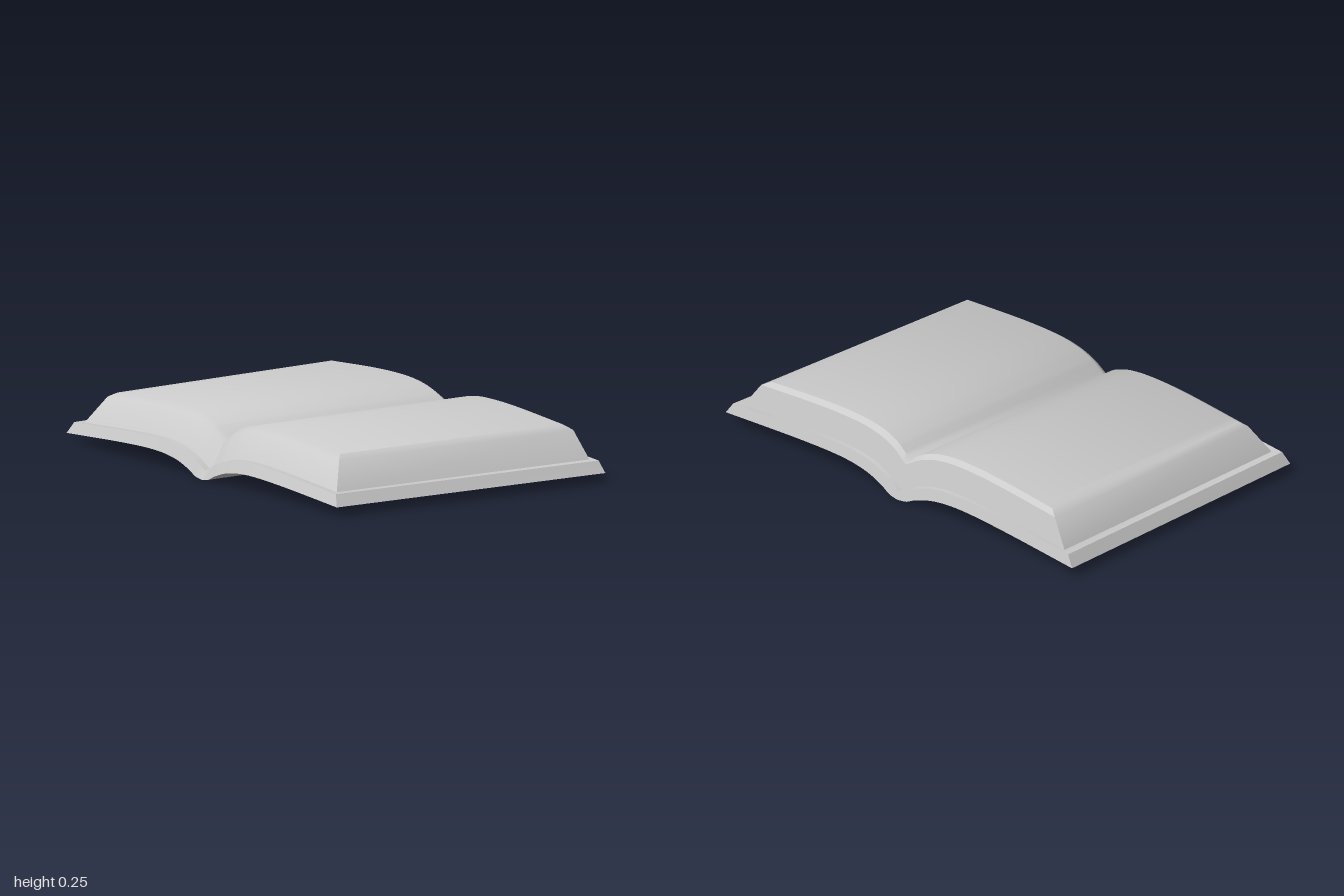
import * as THREE from 'three';
import { toCreasedNormals } from 'three/addons/utils/BufferGeometryUtils.js';

// Fractions of the half width where each arched profile is given, spine to edge
const STATIONS = [0, 0.05, 0.1, 0.2, 0.35, 0.6, 1];
const STEPS = 30;
const BACK_LEAN = 0.22; // the back leans forward as it rises

// Outlines from bottom to top: half widths, z of both ends, arch heights
const coverBottom = { front: 0.945, back: 1.0, zFront: 0.655, zBack: -0.655,
  y: [0, 0.008, 0.03, 0.058, 0.071, 0.064, 0.04] };
const coverTop = { front: 0.915, back: 0.967, zFront: 0.638, zBack: -0.655,
  y: [0.035, 0.06, 0.08, 0.107, 0.119, 0.112, 0.088] };
const pageBottom = { ...coverTop, front: 0.882, back: 0.928, zFront: 0.61, zBack: -0.637 };
const pageShoulder = { front: 0.81, back: 0.848, zFront: 0.547, zBack: -0.638,
  y: [0.142, 0.168, 0.19, 0.215, 0.228, 0.224, 0.2] };
const pageTop = { front: 0.778, back: 0.81, zFront: 0.52, zBack: -0.619,
  y: [0.158, 0.185, 0.207, 0.232, 0.245, 0.242, 0.219] };

// Closed loop of points: front edge left to right, back edge right to left
function ring(level) {
  const spline = new THREE.SplineCurve(STATIONS.map((u, i) => new THREE.Vector2(u, level.y[i])));
  const half = spline.getPoints(STEPS);
  const arch = [
    ...half.slice(1).reverse().map((p) => new THREE.Vector2(-p.x, p.y)),
    ...half,
  ];
  const front = arch.map((p) => new THREE.Vector3(p.x * level.front, p.y, level.zFront));
  const back = arch.map((p) =>
    new THREE.Vector3(p.x * level.back, p.y, level.zBack + BACK_LEAN * p.y));
  return [...front, ...back.reverse()];
}

// Walls between successive outlines, with an optional top or bottom sheet
function loft(name, levels, { top = false, bottom = false }) {
  const rings = levels.map(ring);
  const n = rings[0].length;
  const positions = [];
  const quad = (a, b, c, d) => {
    for (const p of [a, b, c, a, c, d]) positions.push(p.x, p.y, p.z);
  };
  for (let k = 0; k < rings.length - 1; k++) {
    const lower = rings[k], upper = rings[k + 1];
    for (let i = 0; i < n; i++) {
      const j = (i + 1) % n;
      quad(lower[i], lower[j], upper[j], upper[i]);
    }
  }
  const first = rings[0], last = rings[rings.length - 1];
  for (let i = 0; i < n / 2 - 1; i++) {
    const a = n - 1 - i, b = n - 2 - i; // matching points on the back edge
    if (top) quad(last[i], last[i + 1], last[b], last[a]);
    if (bottom) quad(first[a], first[b], first[i + 1], first[i]);
  }
  const geometry = new THREE.BufferGeometry();
  geometry.setAttribute('position', new THREE.Float32BufferAttribute(positions, 3));
  const mesh = new THREE.Mesh(
    toCreasedNormals(geometry, 0.6),
    new THREE.MeshStandardMaterial({ color: 0xcccccc }),
  );
  mesh.name = name;
  return mesh;
}

export function createModel() {
  const book = new THREE.Group();
  book.name = 'openBook';
  // Cover: bottom sheet, sloping rim and the ledge around the pages
  book.add(loft('cover', [coverBottom, coverTop, pageBottom], { bottom: true }));
  // Pages: slanted block, bevelled shoulder and the open spread
  book.add(loft('pages', [pageBottom, pageShoulder, pageTop], { top: true }));
  return book;
}
